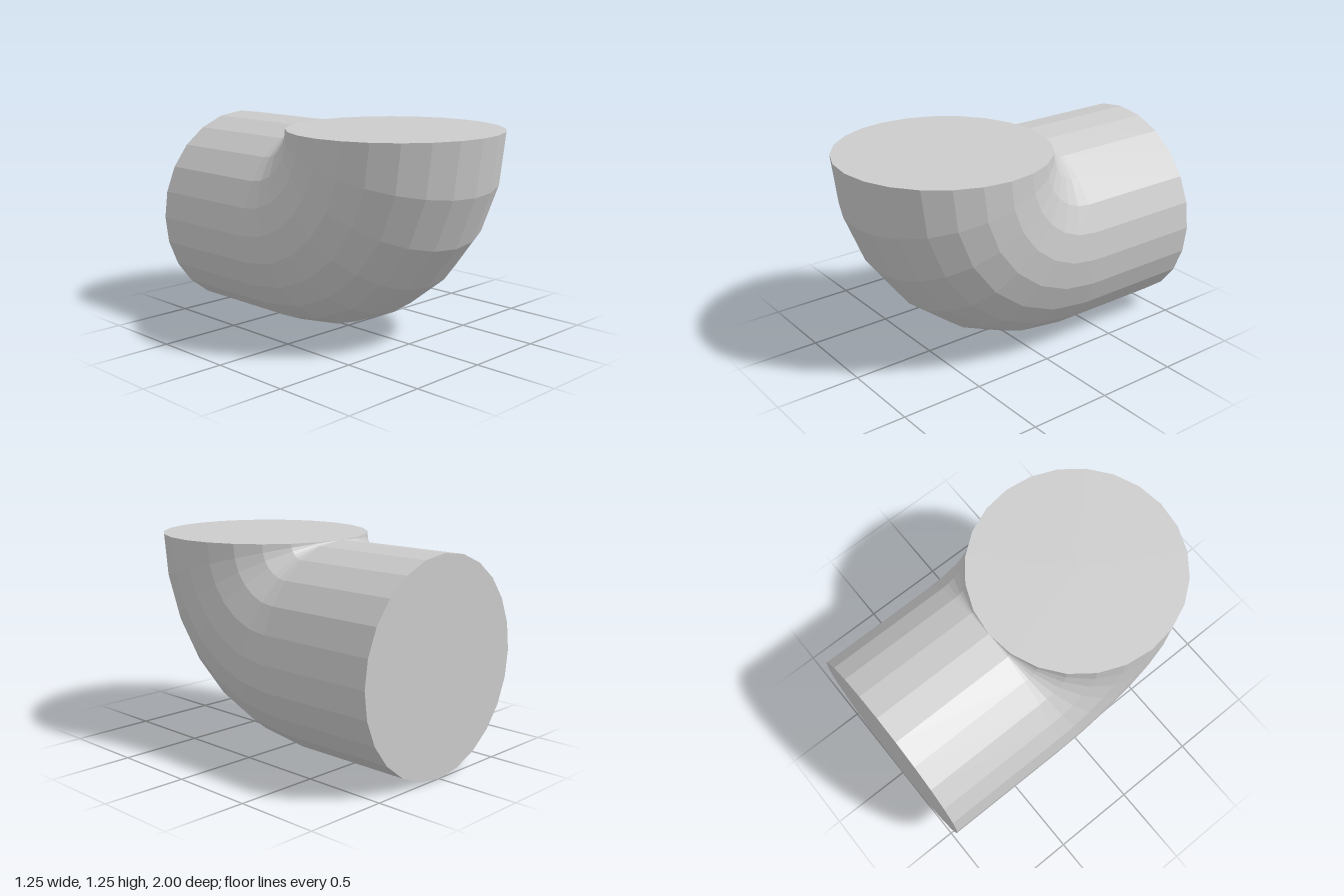
import * as THREE from 'three';

const RADIUS = 0.625; // pipe radius, also the bend radius of its centre line
const SIDES = 24;
const BEND_SEGMENTS = 6;
const BEND_Z = -0.25; // where the straight run meets the bend
const BACK_Z = -1;

export function createModel() {
  const group = new THREE.Group();
  group.name = 'pipeElbow';
  const material = new THREE.MeshStandardMaterial({ color: 0xcccccc, flatShading: true });

  const add = (name, geometry, y, z) => {
    const mesh = new THREE.Mesh(geometry, material);
    mesh.name = name;
    mesh.position.set(0, y, z);
    group.add(mesh);
  };

  // quarter-turn bend, from the top opening round to the straight run
  const bend = new THREE.TorusGeometry(RADIUS, RADIUS, SIDES, BEND_SEGMENTS, Math.PI / 2);
  bend.rotateX(Math.PI).rotateY(-Math.PI / 2);
  add('bend', bend, 2 * RADIUS, BEND_Z);

  // straight run towards the back
  const length = BEND_Z - BACK_Z;
  const run = new THREE.CylinderGeometry(RADIUS, RADIUS, length, SIDES, 1, true);
  run.rotateX(Math.PI / 2);
  add('straightRun', run, RADIUS, (BEND_Z + BACK_Z) / 2);

  // flat end caps
  add('topCap', new THREE.CircleGeometry(RADIUS, SIDES).rotateX(-Math.PI / 2), 2 * RADIUS, BEND_Z + RADIUS);
  add('backCap', new THREE.CircleGeometry(RADIUS, SIDES).rotateY(Math.PI), RADIUS, BACK_Z);

  return group;
}
